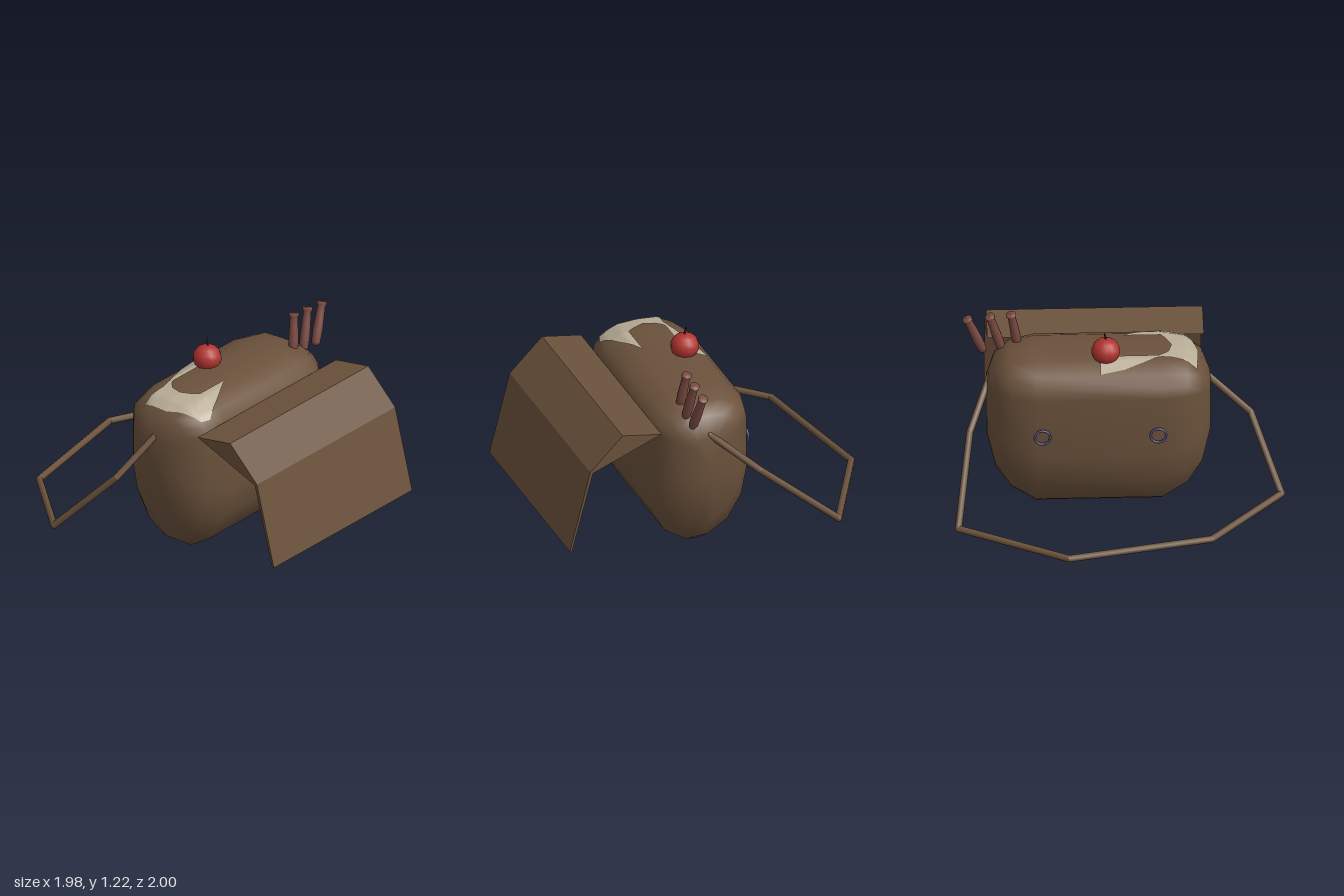
import * as THREE from 'three';

const mat = (name, color, side = THREE.FrontSide) => {
  const m = new THREE.MeshStandardMaterial({ color, side });
  m.name = name;
  return m;
};

// Bag body: a rounded side profile lofted along x, shrinking toward both ends
function bodyGeometry() {
  const half = [[0.04, 0], [0.18, 0.09], [0.28, 0.26], [0.32, 0.46], [0.32, 0.85], [0.305, 0.92], [0.25, 0.98], [0.15, 1.03]];
  const profile = [...half, [0, 1.04], ...half.map(([z, y]) => [-z, y]).reverse()];
  const ends = [[0.375, 1, 0, 1.04], [0.525, 0.89, 0.1, 1.015], [0.615, 0.65, 0.24, 0.96], [0.665, 0.3, 0.45, 0.84]];
  const stations = [...ends.map(([x, ...r]) => [-x, ...r]).reverse(), ...ends];
  const n = profile.length, pos = [], idx = [];
  for (const [x, s, lo, hi] of stations)
    for (const [z, y] of profile) pos.push(0.105 + x, lo + (y / 1.04) * (hi - lo), 0.1 + z * s);
  for (let i = 0; i < stations.length - 1; i++)
    for (let j = 0; j < n; j++) {
      const a = i * n + j, c = i * n + (j + 1) % n;
      idx.push(a, a + n, c, c, a + n, c + n);
    }
  const first = pos.length / 3, last = (stations.length - 1) * n;
  pos.push(-0.56, 0.64, 0.1, 0.77, 0.64, 0.1);
  for (let j = 0; j < n; j++) {
    const k = (j + 1) % n;
    idx.push(first, j, k, first + 1, last + k, last + j);
  }
  const g = new THREE.BufferGeometry();
  g.setAttribute('position', new THREE.Float32BufferAttribute(pos, 3));
  g.setIndex(idx);
  g.computeVertexNormals();
  return g;
}

// Icing: a ribbon between two outlines, draped over the top of the body
function icingGeometry(body) {
  const line = (pts) => {
    const p = new THREE.CurvePath();
    for (let i = 1; i < pts.length; i++)
      p.add(new THREE.LineCurve(new THREE.Vector2(...pts[i - 1]), new THREE.Vector2(...pts[i])));
    return p.curves;
  };
  const outer = line([[0.1, -0.15], [-0.05, -0.12], [-0.25, -0.04], [-0.32, -0.03], [-0.48, -0.05], [-0.49, 0.12], [-0.42, 0.34], [-0.36, 0.36], [-0.22, 0.3], [-0.05, 0.215]]);
  const inner = line([[0.1, -0.04], [-0.05, -0.02], [-0.25, -0.02], [-0.28, 0], [-0.31, 0.03], [-0.33, 0.1], [-0.3, 0.17], [-0.27, 0.21], [-0.2, 0.21], [-0.05, 0.21]]);
  const ray = new THREE.Raycaster(), down = new THREE.Vector3(0, -1, 0);
  const pos = [], idx = [], across = 10, steps = 6;
  outer.forEach((curve, s) => {
    for (let i = 0; i <= steps; i++)
      for (let j = 0; j <= across; j++) {
        const p = curve.getPoint(i / steps).lerp(inner[s].getPoint(i / steps), j / across);
        ray.set(new THREE.Vector3(p.x, 2, p.y), down);
        const hit = ray.intersectObject(body)[0];
        pos.push(p.x, (hit ? hit.point.y : 0.9) + 0.009, p.y);
        if (i < steps && j < across) {
          const a = (s * (steps + 1) + i) * (across + 1) + j, b = a + across + 1;
          idx.push(a, b, a + 1, b, b + 1, a + 1);
        }
      }
  });
  const g = new THREE.BufferGeometry();
  g.setAttribute('position', new THREE.Float32BufferAttribute(pos, 3));
  g.setIndex(idx);
  g.computeVertexNormals();
  return g;
}

export function createModel() {
  const model = new THREE.Group();
  model.name = 'bag';
  const brown = mat('chocolateBrown', 0x6b523c);
  const cream = mat('icingCream', 0xb8ad96, THREE.DoubleSide);
  const red = mat('cherryRed', 0xb03430);
  const stemMat = mat('stemDark', 0x3a2a24);
  const stickMat = mat('waferBrown', 0x7a4a42);
  const metal = mat('ringViolet', 0x4e4872);

  const add = (name, geo, material, parent = model) => {
    const m = new THREE.Mesh(geo, material);
    m.name = name;
    parent.add(m);
    return m;
  };
  // Stand a y-aligned, centred mesh between two points
  const span = (mesh, a, b) => {
    mesh.position.copy(a).add(b).multiplyScalar(0.5);
    mesh.quaternion.setFromUnitVectors(new THREE.Vector3(0, 1, 0), b.clone().sub(a).normalize());
  };
  const vec = (p) => new THREE.Vector3(...p);

  const body = add('body', bodyGeometry(), brown);
  body.updateMatrixWorld();
  add('icing', icingGeometry(body), cream);

  // Open front flap: a wedge at the hinge and a thin hanging panel
  const flapShape = new THREE.Shape([[0.41, 0.92], [0.85, 0.745], [0.985, 0.237], [0.998, 0.24], [0.867, 0.755], [0.66, 0.962]].map((p) => new THREE.Vector2(...p)));
  const flapGeo = new THREE.ExtrudeGeometry(flapShape, { depth: 1.29, bevelEnabled: false });
  flapGeo.rotateY(-Math.PI / 2).translate(0.755, 0, 0);
  add('flap', flapGeo, brown);

  // Shoulder strap: straight runs with rounded joints
  const strap = new THREE.Group();
  strap.name = 'strap';
  model.add(strap);
  const path = [[-0.52, 0.85, 0.1], [-0.8, 0.62, 0], [-0.97, 0.255, -0.34], [-0.54, 0.235, -0.81], [0.32, 0.22, -0.98], [0.965, 0.235, -0.64], [0.88, 0.62, -0.17], [0.75, 0.85, 0.1]].map(vec);
  path.forEach((p, i) => {
    add('strapJoint', new THREE.SphereGeometry(0.021, 10, 8), brown, strap).position.copy(p);
    if (!i) return;
    const q = path[i - 1];
    span(add('strapRun', new THREE.CylinderGeometry(0.021, 0.021, p.distanceTo(q), 8), brown, strap), q, p);
  });

  // Cherry with stem
  const cherry = add('cherry', new THREE.SphereGeometry(0.087, 12, 9), red);
  cherry.position.set(0.065, 1.075, -0.015);
  cherry.scale.y = 0.93;
  const stem = new THREE.CatmullRomCurve3([[0.065, 1.14, -0.012], [0.067, 1.17, -0.014], [0.075, 1.205, -0.022]].map(vec));
  add('cherryStem', new THREE.TubeGeometry(stem, 6, 0.005, 6), stemMat);

  // Wafer sticks with flared ends
  const stickProfile = [[0, -0.5], [0.02, -0.5], [0.027, -0.42], [0.03, -0.15], [0.026, 0.2], [0.024, 0.4], [0.03, 0.43], [0.03, 0.5], [0, 0.5]];
  for (const [a, b] of [
    [[0.58, 0.98, 0.225], [0.622, 1.215, 0.195]],
    [[0.675, 0.955, 0.225], [0.75, 1.205, 0.195]],
    [[0.785, 0.945, 0.225], [0.885, 1.19, 0.195]],
  ].map((e) => e.map(vec))) {
    const len = a.distanceTo(b);
    const geo = new THREE.LatheGeometry(stickProfile.map(([r, y]) => new THREE.Vector2(r, y * len)), 10);
    span(add('waferStick', geo, stickMat), a, b);
  }

  // Back rings
  for (const x of [-0.24, 0.45])
    add('backRing', new THREE.TorusGeometry(0.046, 0.008, 8, 20), metal).position.set(x, 0.62, -0.25);

  return model;
}
